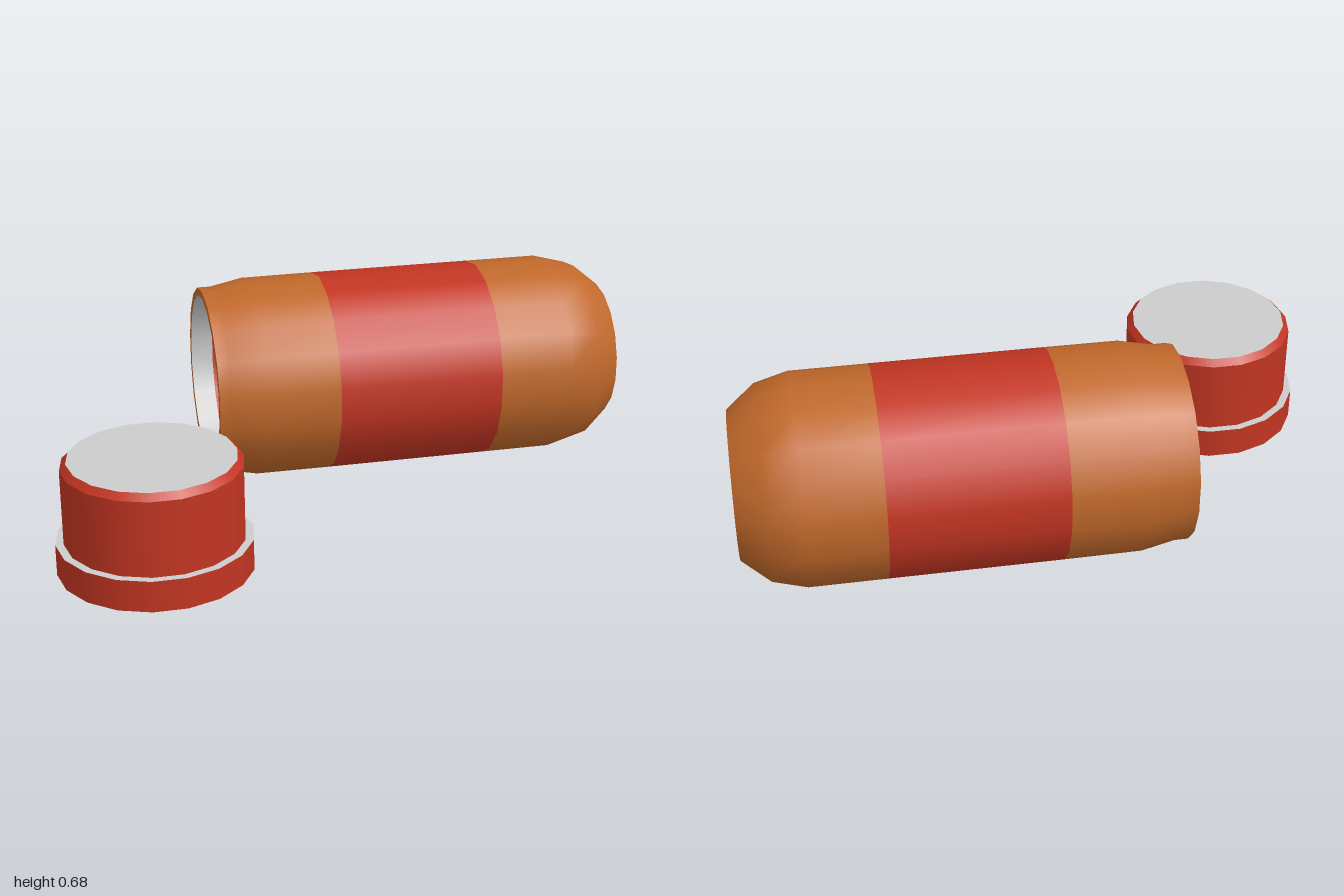
import * as THREE from 'three';

const SIDES = 18;
const RED = 0xc23522, ORANGE = 0xc0682a, GREY = 0xcccccc;

// Surface of revolution through [radius, height] points; rising points face outwards.
// Smooth within one piece, so a sharp edge is made by starting a new piece.
function turned(name, color, points) {
  const profile = points.map(([r, h]) => new THREE.Vector2(r, h));
  const mesh = new THREE.Mesh(
    new THREE.LatheGeometry(profile, SIDES, Math.PI / 2),
    new THREE.MeshStandardMaterial({ color })
  );
  mesh.name = name;
  return mesh;
}

function createBottle() {
  const bottle = new THREE.Group();
  bottle.name = 'bottle';
  bottle.add(
    // outer shell, from mouth to base
    turned('neck', ORANGE, [[0.318, -0.415], [0.318, -0.37], [0.34, -0.26], [0.341, -0.01]]),
    turned('labelBand', RED, [[0.341, -0.01], [0.341, 0.55]]),
    turned('shoulder', ORANGE, [[0.341, 0.55], [0.341, 0.8], [0.312, 0.91], [0.237, 1]]),
    turned('base', ORANGE, [[0.237, 1], [0, 1]]),
    // mouth and hollow inside
    turned('rim', ORANGE, [[0.292, -0.415], [0.318, -0.415]]),
    turned('mouthLining', GREY, [[0.292, -0.34], [0.292, -0.415]]),
    turned('innerWall', RED, [[0.292, 0.8], [0.292, -0.34]]),
    turned('innerFloor', RED, [[0, 0.8], [0.292, 0.8]])
  );
  // lay it down along x
  bottle.rotation.z = -Math.PI / 2;
  bottle.position.set(0, 0.342, -0.32);
  return bottle;
}

function createCap() {
  const cap = new THREE.Group();
  cap.name = 'cap';
  cap.add(
    turned('capUnderside', RED, [[0, 0], [0.312, 0]]),
    turned('capSkirt', RED, [[0.312, 0], [0.312, 0.103]]),
    turned('capStep', GREY, [[0.312, 0.103], [0.286, 0.103]]),
    turned('capWall', RED, [[0.286, 0.103], [0.286, 0.352]]),
    turned('capChamfer', RED, [[0.286, 0.352], [0.266, 0.373]]),
    turned('capTop', GREY, [[0.266, 0.373], [0, 0.373]])
  );
  cap.position.set(-0.688, 0, 0.345);
  return cap;
}

export function createModel() {
  const model = new THREE.Group();
  model.name = 'bottleWithCap';
  model.add(createBottle(), createCap());
  return model;
}
